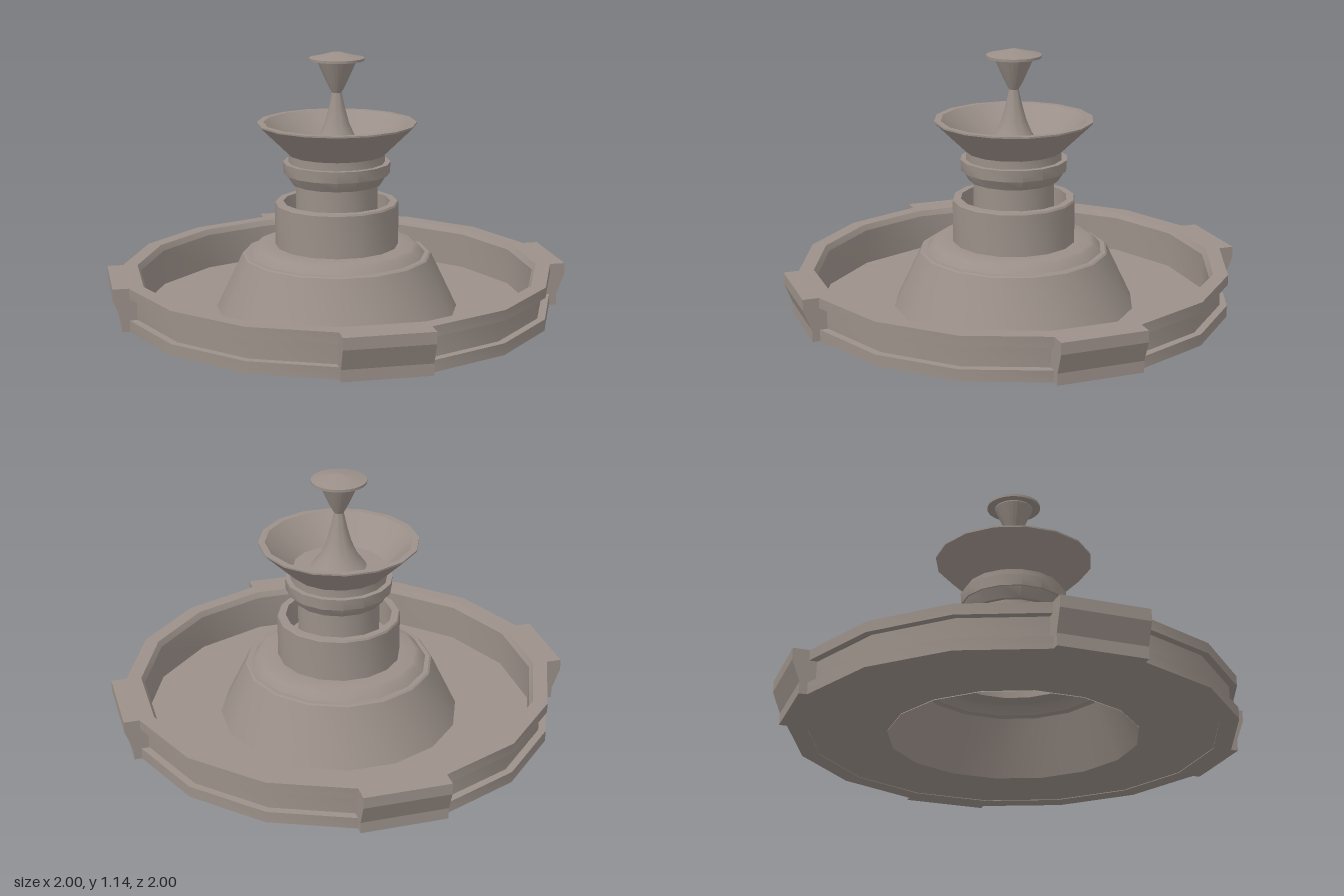
import * as THREE from 'three';
import { toCreasedNormals } from 'three/addons/utils/BufferGeometryUtils.js';

const stone = new THREE.MeshStandardMaterial({ color: 0x9b9089, side: THREE.DoubleSide });

// Turned part from a [radius, height] profile; sides are centred on the axes
function turned(name, profile, sides = 16, crease = 0.5) {
  const points = profile.map(([r, y]) => new THREE.Vector2(r, y));
  const lathe = new THREE.LatheGeometry(points, sides, Math.PI / sides);
  const mesh = new THREE.Mesh(toCreasedNormals(lathe, crease), stone);
  mesh.name = name;
  return mesh;
}

// Buttress block: side profile extruded across its width, facing +x
function buttress(angle, index) {
  const shape = new THREE.Shape([
    [0.9, 0], [0.965, 0], [0.965, 0.05], [1, 0.14], [1, 0.19], [0.9, 0.19],
  ].map(([x, y]) => new THREE.Vector2(x, y)));
  const width = 0.37;
  const geometry = new THREE.ExtrudeGeometry(shape, { depth: width, bevelEnabled: false });
  geometry.translate(0, 0, -width / 2);
  const mesh = new THREE.Mesh(geometry, stone);
  mesh.name = 'buttress' + (index + 1);
  mesh.rotation.y = angle;
  return mesh;
}

export function createModel() {
  const fountain = new THREE.Group();
  fountain.name = 'fountain';

  // Basin wall with a recessed outer band, and its open-centred floor
  fountain.add(turned('basinWall', [
    [0.87, 0], [0.95, 0], [0.95, 0.05], [0.917, 0.05], [0.917, 0.145],
    [0.95, 0.145], [0.95, 0.19], [0.885, 0.19], [0.87, 0.165], [0.87, 0],
  ]));
  fountain.add(turned('basinFloor', [[0.88, 0.003], [0.535, 0.003]]));

  // Four buttresses around the wall
  for (let i = 0; i < 4; i++) fountain.add(buttress(i * Math.PI / 2, i));

  // Hollow pedestal: sloped foot, stepped ledge and an open collar
  fountain.add(turned('pedestal', [
    [0.535, 0], [0.418, 0.245], [0.41, 0.25], [0.39, 0.25], [0.365, 0.28],
    [0.345, 0.29], [0.272, 0.29], [0.272, 0.475], [0.267, 0.483],
    [0.235, 0.483], [0.235, 0.36], [0.18, 0.36],
  ]));

  // Column with its moulded capital
  fountain.add(turned('column', [
    [0.18, 0.36], [0.18, 0.565], [0.198, 0.565], [0.226, 0.61], [0.233, 0.61],
    [0.236, 0.66], [0.212, 0.66], [0.212, 0.695], [0.2, 0.695],
  ]));

  // Upper bowl
  fountain.add(turned('upperBowl', [
    [0, 0.69], [0.212, 0.695], [0.349, 0.828], [0.349, 0.835], [0.32, 0.835],
    [0.2, 0.715], [0, 0.715],
  ]));

  // Spout: flared stem, narrow neck and widening head
  fountain.add(turned('spoutStem', [
    [0.125, 0.71], [0.08, 0.77], [0.054, 0.83], [0.035, 0.9], [0.021, 0.965],
  ], 24, 0.7));
  fountain.add(turned('spoutHead', [
    [0.021, 0.965], [0.04, 1.0], [0.085, 1.1], [0.085, 1.108],
  ], 24, 0.2));

  // Domed cap with a small nozzle point
  fountain.add(turned('cap', [
    [0, 1.105], [0.12, 1.105], [0.12, 1.116], [0.105, 1.118], [0.02, 1.14], [0, 1.14],
  ], 32));

  return fountain;
}
